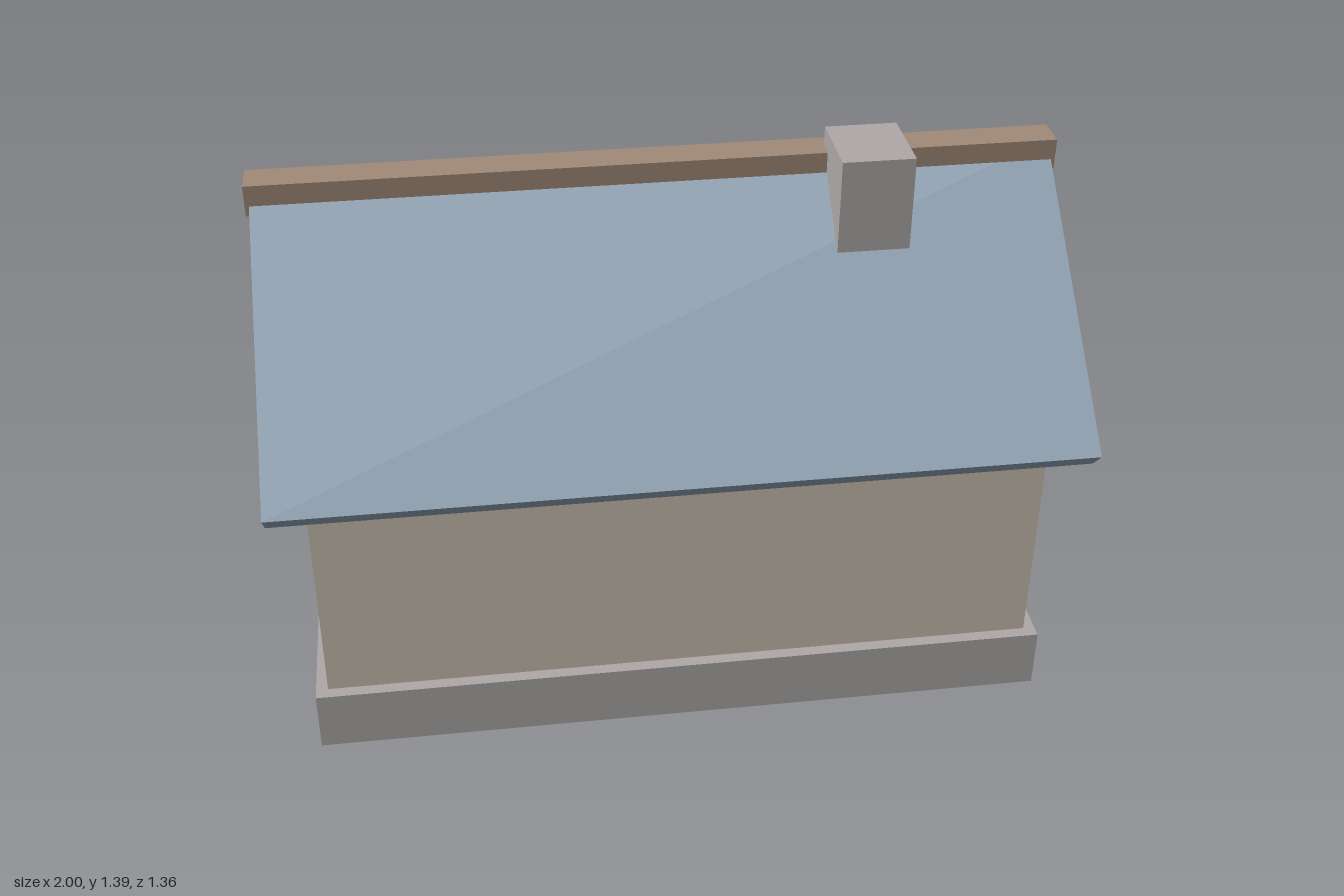
import * as THREE from 'three';

const material = (name, color) => {
  const m = new THREE.MeshStandardMaterial({ color });
  m.name = name;
  return m;
};

export function createModel() {
  const house = new THREE.Group();
  house.name = 'house';

  const plaster = material('plaster', 0xcac1b1);
  const slate = material('blueSlate', 0x92a4b5);
  const stone = material('stone', 0xaea9a8);
  const wood = material('wood', 0xa18977);
  const straw = material('straw', 0xcdb88c);

  const add = (name, geometry, mat) => {
    const mesh = new THREE.Mesh(geometry, mat);
    mesh.name = name;
    house.add(mesh);
    return mesh;
  };

  // Box given by its minimum and maximum corners
  const box = (name, mat, x0, x1, y0, y1, z0, z1) => {
    const g = new THREE.BoxGeometry(x1 - x0, y1 - y0, z1 - z0);
    g.translate((x0 + x1) / 2, (y0 + y1) / 2, (z0 + z1) / 2);
    return add(name, g, mat);
  };

  // Side profile in (z, y), extruded along x and centred
  const profile = (name, mat, points, length) => {
    const shape = new THREE.Shape(points.map(([z, y]) => new THREE.Vector2(-z, y)));
    const g = new THREE.ExtrudeGeometry(shape, { depth: length, bevelEnabled: false });
    g.translate(0, 0, -length / 2);
    g.rotateY(Math.PI / 2);
    return add(name, g, mat);
  };

  // Foundation and doorstep
  box('foundation', stone, -0.93, 0.93, 0, 0.16, -0.485, 0.59);
  box('doorstep', stone, -0.2, 0.2, 0, 0.085, -0.678, -0.48);

  // Gabled walls
  profile('walls', plaster,
    [[0.56, 0.15], [0.56, 0.786], [0.05, 1.23], [-0.46, 0.786], [-0.46, 0.15]], 1.8);

  // Pitched roof
  profile('roof', slate, [
    [0.628, 0.727], [0.677, 0.78], [0.05, 1.326],
    [-0.577, 0.78], [-0.528, 0.727], [0.05, 1.23],
  ], 1.98);
  box('ridgeBeam', wood, -1, 1, 1.26, 1.34, 0.005, 0.095);
  box('chimney', stone, 0.417, 0.597, 1.08, 1.39, 0.05, 0.255);

  // Door in the back wall
  box('doorFrame', wood, -0.15, 0.15, 0.085, 0.615, -0.502, -0.45);
  box('doorPanel', wood, -0.11, 0.11, 0.085, 0.555, -0.527, -0.49);

  // Corner posts and round wall shields, mirrored
  const disc = (name, mat, x, radius, z0, z1) => {
    const g = new THREE.CylinderGeometry(radius, radius, z1 - z0, 12).toNonIndexed();
    g.rotateX(Math.PI / 2);
    g.computeVertexNormals();
    g.translate(x, 0.453, (z0 + z1) / 2);
    add(name, g, mat);
  };
  for (const [side, s] of [['left', 1], ['right', -1]]) {
    const x = s * 0.86;
    box(side + 'Post', wood, x - 0.041, x + 0.041, 0.155, 0.8, -0.495, -0.455);
    disc(side + 'ShieldRim', straw, s * 0.64, 0.197, -0.555, -0.503);
    disc(side + 'ShieldFace', slate, s * 0.64, 0.16, -0.598, -0.562);
    disc(side + 'ShieldBoss', stone, s * 0.64, 0.047, -0.637, -0.603);
  }

  return house;
}
